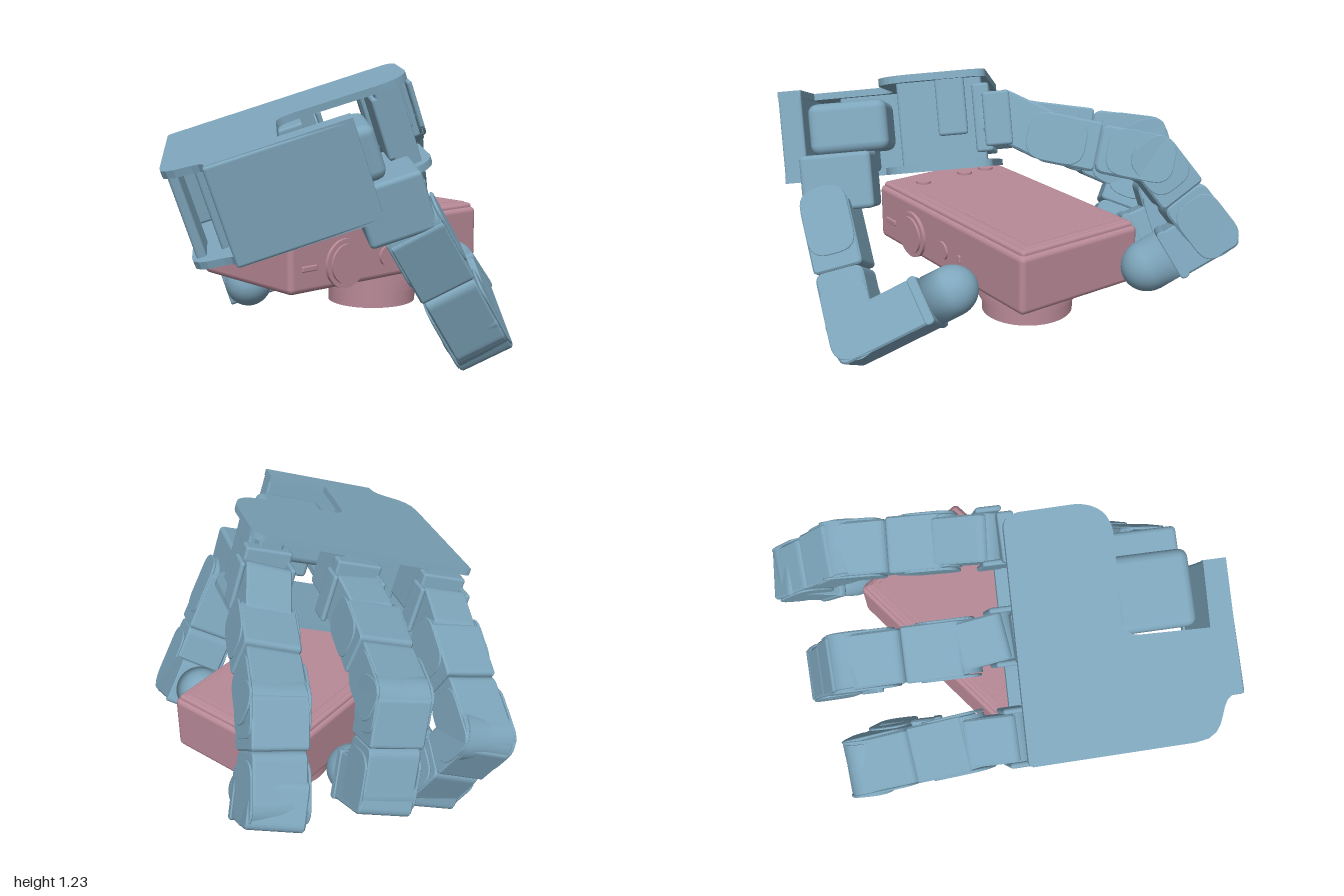
import * as THREE from 'three';
import { RoundedBoxGeometry } from 'three/addons/geometries/RoundedBoxGeometry.js';

const V = (x, y, z) => new THREE.Vector3(x, y, z);
const blue = new THREE.MeshStandardMaterial({ color: 0x7ea6bc });
const pink = new THREE.MeshStandardMaterial({ color: 0xb98a98 });

// Hand frame: across the palm, towards the fingers, out of the back of the hand
const across = V(0.76, 0.31, 0.57).normalize();
const forward = V(0.57, 0.085, -0.82);
forward.addScaledVector(across, -forward.dot(across)).normalize();
const out = across.clone().cross(forward);
const corner = V(0.185, 1.245, 0.2);
const handPoint = (a, b, c) => corner.clone()
  .addScaledVector(across, a).addScaledVector(forward, b).addScaledVector(out, c);

function add(parent, name, geometry, material, x = 0, y = 0, z = 0) {
  const mesh = new THREE.Mesh(geometry, material);
  mesh.name = name;
  mesh.position.set(x, y, z);
  parent.add(mesh);
  return mesh;
}

// Box given by its limits on each axis
function block(parent, name, [x0, x1], [y0, y1], [z0, z1], material = blue, r = 0.012) {
  return add(parent, name, new RoundedBoxGeometry(x1 - x0, y1 - y0, z1 - z0, 2, r), material,
    (x0 + x1) / 2, (y0 + y1) / 2, (z0 + z1) / 2);
}

// Plate with rounded corners in the xy plane, centred on z = 0
function plate(x0, x1, y0, y1, r, depth, bevel = 0.008) {
  const s = new THREE.Shape();
  x0 += bevel; x1 -= bevel; y0 += bevel; y1 -= bevel;
  s.moveTo(x0 + r, y0);
  s.lineTo(x1 - r, y0).quadraticCurveTo(x1, y0, x1, y0 + r);
  s.lineTo(x1, y1 - r).quadraticCurveTo(x1, y1, x1 - r, y1);
  s.lineTo(x0 + r, y1).quadraticCurveTo(x0, y1, x0, y1 - r);
  s.lineTo(x0, y0 + r).quadraticCurveTo(x0, y0, x0 + r, y0);
  return new THREE.ExtrudeGeometry(s, {
    depth: depth - 2 * bevel, bevelSize: bevel, bevelThickness: bevel, bevelSegments: 1, curveSegments: 6,
  }).translate(0, 0, bevel - depth / 2);
}

// Group whose y runs from one joint to the next and whose z is the hinge axis
function segment(parent, name, from, to, hinge) {
  const y = to.clone().sub(from), length = y.length();
  y.normalize();
  const z = hinge.clone().addScaledVector(y, -hinge.dot(y)).normalize();
  const g = new THREE.Group();
  g.name = name;
  g.matrix.makeBasis(y.clone().cross(z), y, z).setPosition(from);
  g.matrix.decompose(g.position, g.quaternion, g.scale);
  parent.add(g);
  return { g, length };
}

function hingePin(g, y, r, w) {
  add(g, 'hinge', new THREE.CylinderGeometry(r, r, w, 28).rotateX(Math.PI / 2), blue, 0, y, 0);
}

function link(parent, name, from, to, hinge, w, h) {
  const { g, length } = segment(parent, name, from, to, hinge);
  const mid = length * 0.48;
  add(g, 'rearCase', plate(-h / 2, h / 2, -0.03, mid, 0.012, w), blue);
  add(g, 'frontCase', plate(-h / 2 + 0.005, h / 2, mid, length + 0.04, 0.03, w - 0.012), blue);
  hingePin(g, 0, h * 0.48, w - 0.02);
  hingePin(g, length, h * 0.48, w - 0.01);
  for (const s of [-1, 1]) {
    add(g, 'cheek', plate(-h * 0.48, h * 0.48, -h * 0.44, length * 0.36, 0.075, 0.012, 0.003), blue, 0, 0, s * w / 2);
    add(g, 'sidePlate', plate(-h * 0.48, h * 0.48, length * 0.56, length + h * 0.44, 0.075, 0.01, 0.003), blue, 0, 0, s * w / 2);
  }
}

// Last segment: a case with a round pad on its end
function tip(parent, from, to, hinge, w) {
  const { g, length } = segment(parent, 'fingertip', from, to, hinge);
  const end = length - 0.1;
  add(g, 'tipCase', plate(-0.1, 0.1, -0.09, end, 0.03, w), blue);
  add(g, 'tipCollar', plate(-0.106, 0.106, end - 0.04, end, 0.015, w + 0.01, 0.004), blue);
  const pad = [[0, end], [0.108, end], [0.108, length - 0.01]].map(([x, y]) => new THREE.Vector2(x, y));
  for (let i = 1; i <= 10; i++) {
    const t = i / 10 * Math.PI / 2;
    pad.push(new THREE.Vector2(0.108 * Math.cos(t), length - 0.01 + 0.115 * Math.sin(t)));
  }
  add(g, 'pad', new THREE.LatheGeometry(pad, 36), blue);
}

// Palm outline with a bay for the thumb
function palmGeometry() {
  const s = new THREE.Shape();
  s.moveTo(-1.02, -0.02);
  s.quadraticCurveTo(-1.02, 0, -0.99, 0);
  s.lineTo(-0.05, -0.03).quadraticCurveTo(0, -0.03, 0.01, -0.1);
  s.lineTo(0.015, -0.34).quadraticCurveTo(0, -0.48, -0.13, -0.48);
  s.lineTo(-0.47, -0.46).quadraticCurveTo(-0.55, -0.46, -0.55, -0.54);
  s.lineTo(-0.56, -0.83).lineTo(-0.28, -0.84).lineTo(-0.28, -0.94).lineTo(-0.84, -0.93);
  s.bezierCurveTo(-0.83, -0.79, -1.02, -0.88, -1.02, -0.7);
  s.closePath();
  return new THREE.ExtrudeGeometry(s, { depth: 0.03, bevelEnabled: false, curveSegments: 8 });
}

function handGroup(parent, name) {
  const g = new THREE.Group();
  g.name = name;
  g.matrix.makeBasis(across, forward, out).setPosition(corner);
  g.matrix.decompose(g.position, g.quaternion, g.scale);
  parent.add(g);
  return g;
}

function buildPalm(parent) {
  const g = handGroup(parent, 'palm');
  add(g, 'backPlate', palmGeometry(), blue, 0, 0, -0.03);
  add(g, 'innerPlate', palmGeometry(), blue, 0, 0, -0.4);
  block(g, 'wristWall', [-0.85, -0.28], [-0.94, -0.84], [-0.4, -0.002]);
  block(g, 'sideWall', [-1.0, -0.96], [-0.74, -0.52], [-0.39, -0.01]);
  block(g, 'core', [-0.9, -0.6], [-0.72, -0.42], [-0.38, -0.02]);
  block(g, 'thumbSidePanel', [-0.14, -0.03], [-0.4, -0.05], [-0.38, -0.02]);
  block(g, 'panelRib', [-0.06, -0.005], [-0.24, -0.12], [-0.26, -0.02]);
  // Motor and fork for each finger
  for (const a of [-0.06, -0.48, -0.9]) {
    block(g, 'fingerMotor', [a - 0.1, a + 0.03], [-0.4, -0.03], [-0.33, -0.06]);
    block(g, 'knuckleBase', [a - 0.12, a + 0.09], [-0.09, -0.02], [-0.34, -0.06]);
    for (const s of [-1, 1]) {
      block(g, 'knuckleFork', [a + s * 0.112 - 0.012, a + s * 0.112 + 0.012], [-0.05, 0.06], [-0.32, -0.1]);
    }
  }
}

function buildFinger(parent, name, a, p1, p2, p3, end) {
  const g = new THREE.Group();
  g.name = name;
  parent.add(g);
  const base = segment(g, 'knuckle', handPoint(a, 0.03, -0.2), p1, across);
  add(base.g, 'knuckleCase', plate(-0.1, 0.1, -0.05, base.length, 0.03, 0.2), blue);
  hingePin(base.g, 0, 0.09, 0.2);
  link(g, 'upperLink', p1, p2, across, 0.24, 0.2);
  link(g, 'middleLink', p2, p3, across, 0.235, 0.2);
  tip(g, p3, end, across, 0.235);
}

function buildThumb(parent) {
  const g = new THREE.Group();
  g.name = 'thumb';
  parent.add(g);
  // Swivel motor in the bay and the bracket hanging below it
  const base = handGroup(g, 'thumbBase');
  block(base, 'swivelMotor', [-0.54, -0.21], [-0.81, -0.47], [-0.29, -0.07], blue, 0.04);
  block(base, 'swivelAxle', [-0.48, -0.26], [-0.76, -0.54], [-0.38, -0.2], blue, 0.02);
  block(base, 'thumbBracket', [-0.36, -0.09], [-0.84, -0.54], [-0.53, -0.29], blue, 0.02);
  const j1 = V(-0.2, 0.62, 0.76), j2 = V(0.09, 0.17, 0.81), hinge = V(0.166, 0.14, 0.17);
  link(g, 'thumbLink', j1, j2, hinge, 0.23, 0.21);
  tip(g, j2, V(0.3, 0.37, 0.48), hinge, 0.235);
}

function buildCamera(parent) {
  const g = new THREE.Group();
  g.name = 'camera';
  parent.add(g);
  block(g, 'body', [-0.5, 0.6], [0.325, 0.58], [-0.26, 0.355], pink, 0.025);
  block(g, 'rearCover', [-0.485, 0.585], [0.55, 0.597], [-0.245, 0.34], pink, 0.015);
  block(g, 'screenFrame', [-0.24, 0.57], [0.575, 0.602], [-0.225, 0.315], pink, 0.008);
  block(g, 'screen', [-0.21, 0.545], [0.58, 0.606], [-0.195, 0.285], pink, 0.004);
  for (const z of [-0.15, -0.03, 0.2]) {
    add(g, 'rearButton', new THREE.CylinderGeometry(0.035, 0.035, 0.03, 24), pink, -0.36, 0.592, z);
  }
  // Stepped lens
  const steps = [[0, 0.15], [0.2, 0.15], [0.2, 0.22], [0.215, 0.22], [0.215, 0.255], [0.235, 0.255], [0.235, 0.29],
    [0.255, 0.29], [0.255, 0.315], [0.29, 0.315], [0.29, 0.335]];
  const lens = new THREE.LatheGeometry(steps.flatMap(([r, y], i) => {
    const p = new THREE.Vector2(r, y);
    return i && i < steps.length - 1 ? [p, p.clone()] : [p];
  }), 48);
  add(g, 'lens', lens, pink, 0.23, 0, 0.045);
  block(g, 'lensWindow', [0.18, 0.28], [0.147, 0.17], [0.01, 0.08], pink, 0.004);
  // Controls along the upper edge
  const knob = (name, r, x, d) =>
    add(g, name, new THREE.CylinderGeometry(r, r, d, 32).rotateX(Math.PI / 2), pink, x, 0.425, 0.355);
  knob('dial', 0.105, -0.21, 0.03);
  knob('shutterButton', 0.085, -0.21, 0.05);
  knob('powerButton', 0.042, 0.03, 0.02);
  block(g, 'indicator', [0.15, 0.17], [0.41, 0.445], [0.34, 0.362], pink, 0.005);
  block(g, 'strapSlot', [-0.44, -0.36], [0.415, 0.44], [0.34, 0.362], pink, 0.006);
}

export function createModel() {
  const model = new THREE.Group();
  model.name = 'robotHandHoldingCamera';
  buildPalm(model);
  buildFinger(model, 'outerFinger', -0.9, V(-0.3, 0.73, -0.45), V(-0.03, 0.54, -0.79), V(0.01, 0.22, -0.6), V(-0.18, 0.21, -0.36));
  buildFinger(model, 'middleFinger', -0.48, V(-0.01, 0.88, -0.22), V(0.28, 0.83, -0.57), V(0.42, 0.48, -0.61), V(0.29, 0.36, -0.37));
  buildFinger(model, 'indexFinger', -0.06, V(0.37, 0.96, 0.04), V(0.66, 0.89, -0.26), V(0.85, 0.6, -0.41), V(0.72, 0.45, -0.2));
  buildThumb(model);
  buildCamera(model);
  return model;
}
